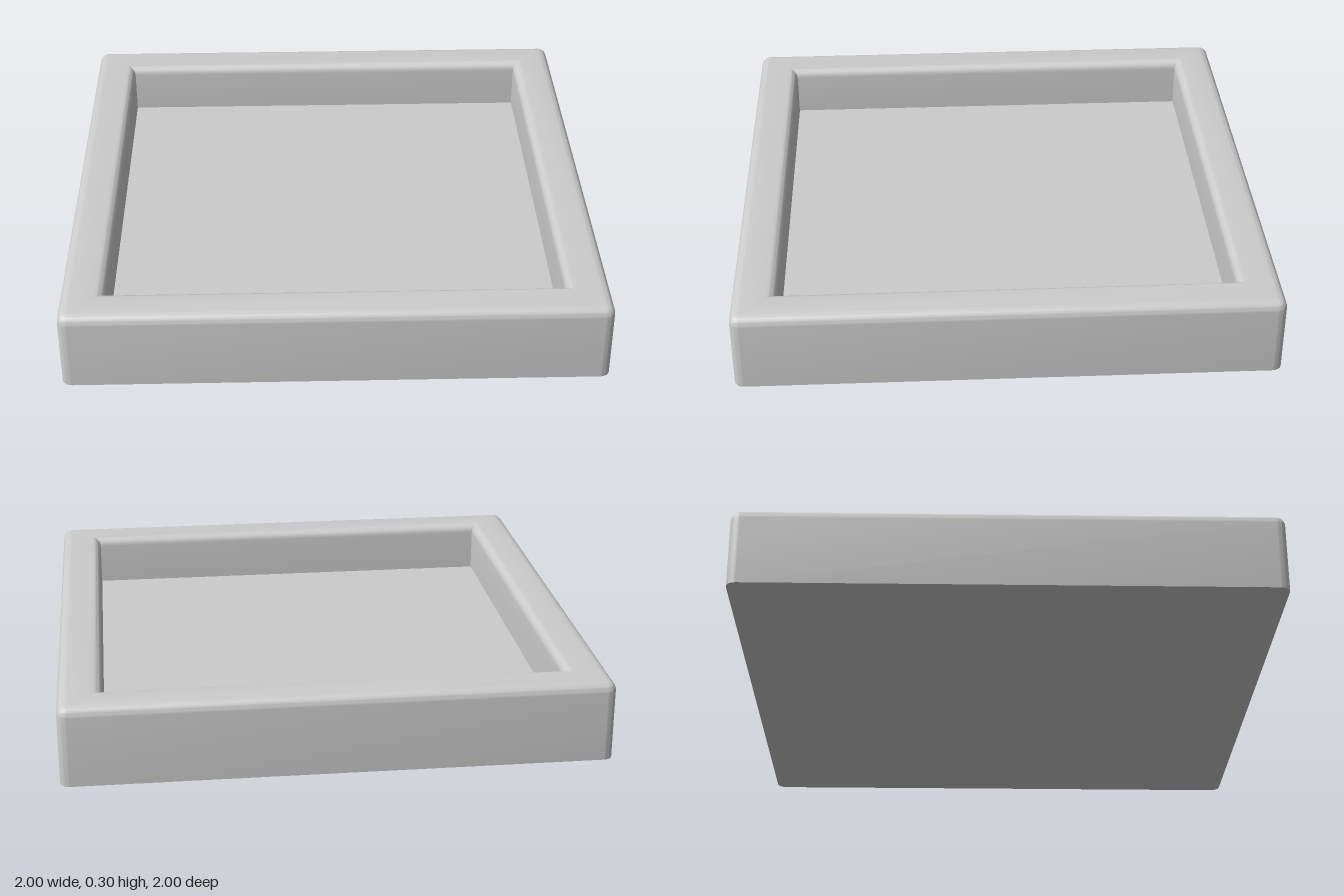
import * as THREE from 'three';
import { toCreasedNormals } from 'three/addons/utils/BufferGeometryUtils.js';

const HEIGHT = 0.3, FLOOR = 0.1, INNER = 0.838, FILLET = 0.036, STEPS = 7;

// Rounded square at height y: half-size a, corner radius r, counter-clockwise from above
function ring(a, r, y) {
  const points = [];
  for (let corner = 0; corner < 4; corner++) {
    const mid = (corner + 0.5) * Math.PI / 2;
    const cx = Math.sign(Math.cos(mid)) * (a - r), cz = -Math.sign(Math.sin(mid)) * (a - r);
    for (let s = 0; s <= STEPS; s++) {
      const t = (corner + s / STEPS) * Math.PI / 2;
      points.push(new THREE.Vector3(cx + r * Math.cos(t), y, cz - r * Math.sin(t)));
    }
  }
  return points;
}

// Joins consecutive rings, leaving out collapsed triangles
function skin(rings) {
  const positions = [];
  const triangle = (...p) => {
    if (new THREE.Triangle(...p).getArea() > 1e-9) p.forEach(v => positions.push(v.x, v.y, v.z));
  };
  for (let i = 0; i < rings.length - 1; i++) {
    const low = rings[i], high = rings[i + 1], n = low.length;
    for (let j = 0; j < n; j++) {
      const k = (j + 1) % n;
      triangle(low[j], low[k], high[k]);
      triangle(low[j], high[k], high[j]);
    }
  }
  const geometry = new THREE.BufferGeometry();
  geometry.setAttribute('position', new THREE.Float32BufferAttribute(positions, 3));
  return toCreasedNormals(geometry, 0.6);
}

export function createModel() {
  const group = new THREE.Group();
  group.name = 'tray';

  // Underside and outer wall
  const rings = [ring(0, 0, 0), ring(1, FILLET, 0)];
  // Rounded outer rim
  for (let s = 0; s <= STEPS; s++) {
    const t = s / STEPS * Math.PI / 2;
    const r = FILLET * Math.cos(t);
    rings.push(ring(1 - FILLET + r, r, HEIGHT - FILLET + FILLET * Math.sin(t)));
  }
  // Rounded inner rim with mitred corners
  for (let s = STEPS; s >= 0; s--) {
    const t = s / STEPS * Math.PI / 2;
    rings.push(ring(INNER + FILLET * (1 - Math.cos(t)), 0, HEIGHT - FILLET + FILLET * Math.sin(t)));
  }
  // Inner wall and recessed floor
  rings.push(ring(INNER, 0, FLOOR), ring(0, 0, FLOOR));

  const body = new THREE.Mesh(skin(rings), new THREE.MeshStandardMaterial({ color: 0xcccccc }));
  body.name = 'trayBody';
  group.add(body);
  return group;
}
